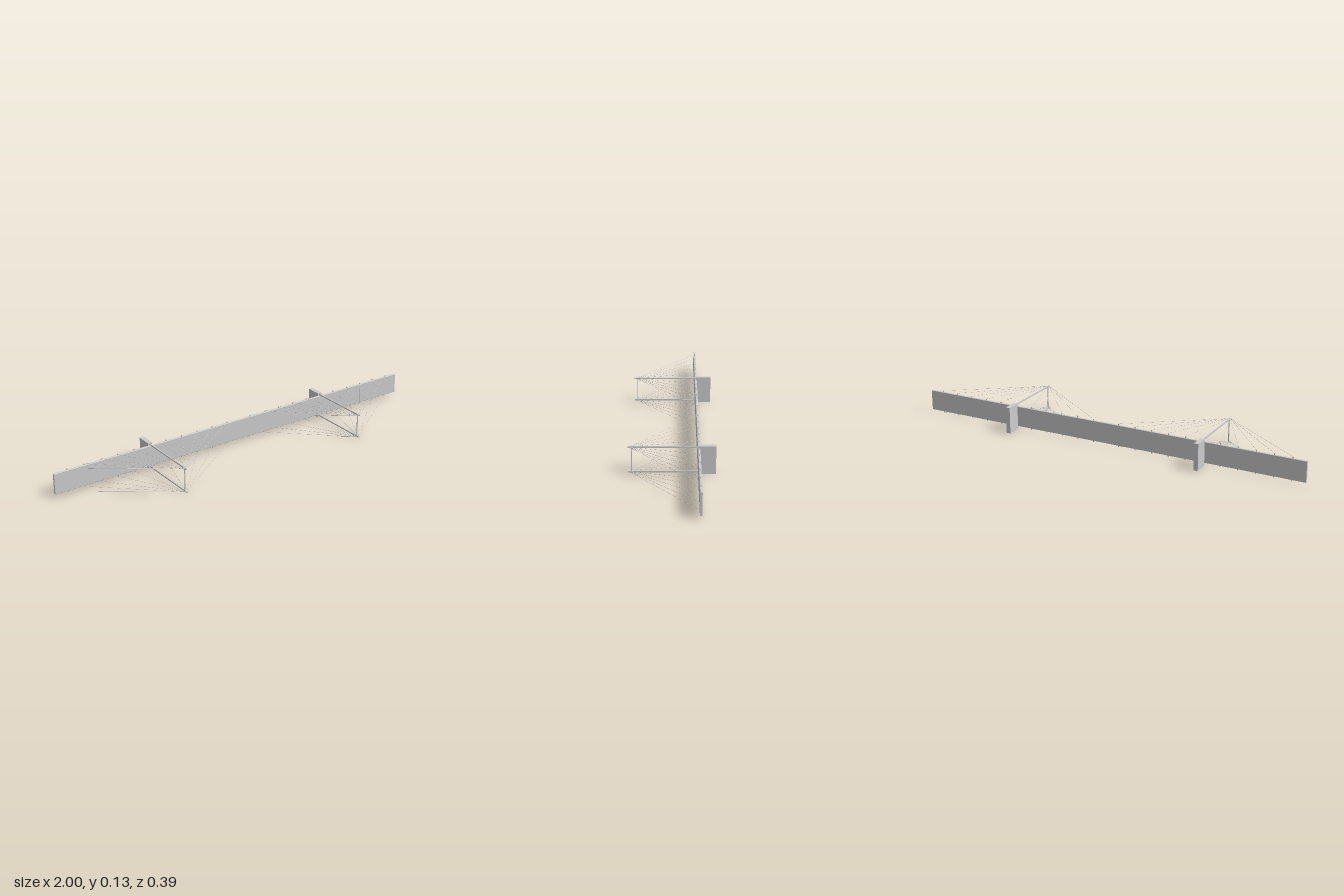
import * as THREE from 'three';

const material = new THREE.MeshStandardMaterial({ color: 0xcccccc, flatShading: true });
const MID_Y = 0.066;  // centre line between the two cable planes
const HALF_Y = 0.058; // half the spacing of the cable planes
const DECK_Z = -0.1195;

function add(parent, name, geometry, x = 0, y = 0, z = 0) {
  const mesh = new THREE.Mesh(geometry, material);
  mesh.name = name;
  mesh.position.set(x, y, z);
  parent.add(mesh);
  return mesh;
}

// Straight round bar between two points
function bar(parent, name, a, b, radius, sides) {
  const dir = b.clone().sub(a);
  const mesh = add(parent, name, new THREE.CylinderGeometry(radius, radius, dir.length(), sides));
  mesh.position.copy(a).add(b).multiplyScalar(0.5);
  mesh.quaternion.setFromUnitVectors(new THREE.Vector3(0, 1, 0), dir.normalize());
}

// Road slab with small chamfers on the long edges, cross-section swept along x
function createDeck() {
  const w = 0.051, t = 0.0055, c = 0.0015;
  const profile = new THREE.Shape([
    [t, -w + c], [t, w - c], [t - c, w], [-t + c, w],
    [-t, w - c], [-t, -w + c], [-t + c, -w], [t - c, -w],
  ].map(([z, y]) => new THREE.Vector2(z, y)));
  const slab = new THREE.ExtrudeGeometry(profile, { depth: 2, bevelEnabled: false });
  slab.translate(0, 0, -1).rotateY(Math.PI / 2);
  const deck = new THREE.Group();
  deck.name = 'deck';
  add(deck, 'roadSlab', slab, 0, MID_Y, DECK_Z);
  return deck;
}

function createTower(x) {
  const tower = new THREE.Group();
  tower.name = 'tower';
  tower.position.x = x;

  add(tower, 'pier', new THREE.BoxGeometry(0.022, 0.131, 0.074), 0, 0.0655, -0.158);
  add(tower, 'crossBeam', new THREE.BoxGeometry(0.004, 2 * HALF_Y, 0.004), 0, MID_Y, 0.18);

  for (const s of [-1, 1]) {
    add(tower, 'mast', new THREE.BoxGeometry(0.006, 0.006, 0.317), 0, MID_Y + s * HALF_Y, 0.0375);
  }

  // Fans of stay cables, each pair held by a thin bar through the deck
  for (let i = 1; i <= 5; i++) {
    for (const side of [-1, 1]) {
      const cableX = side * i * 0.0865;
      add(tower, 'anchorBar', new THREE.BoxGeometry(0.004, 2 * HALF_Y, 0.004), cableX, MID_Y, DECK_Z);
      for (const s of [-1, 1]) {
        const y = MID_Y + s * HALF_Y;
        bar(tower, 'stayCable', new THREE.Vector3(0, y, 0.192),
          new THREE.Vector3(cableX, y, DECK_Z), 0.0006, 6);
      }
    }
  }
  return tower;
}

export function createModel() {
  const model = new THREE.Group();
  model.name = 'cableStayedBridge';
  model.add(createDeck(), createTower(-0.5), createTower(0.5));
  return model;
}
